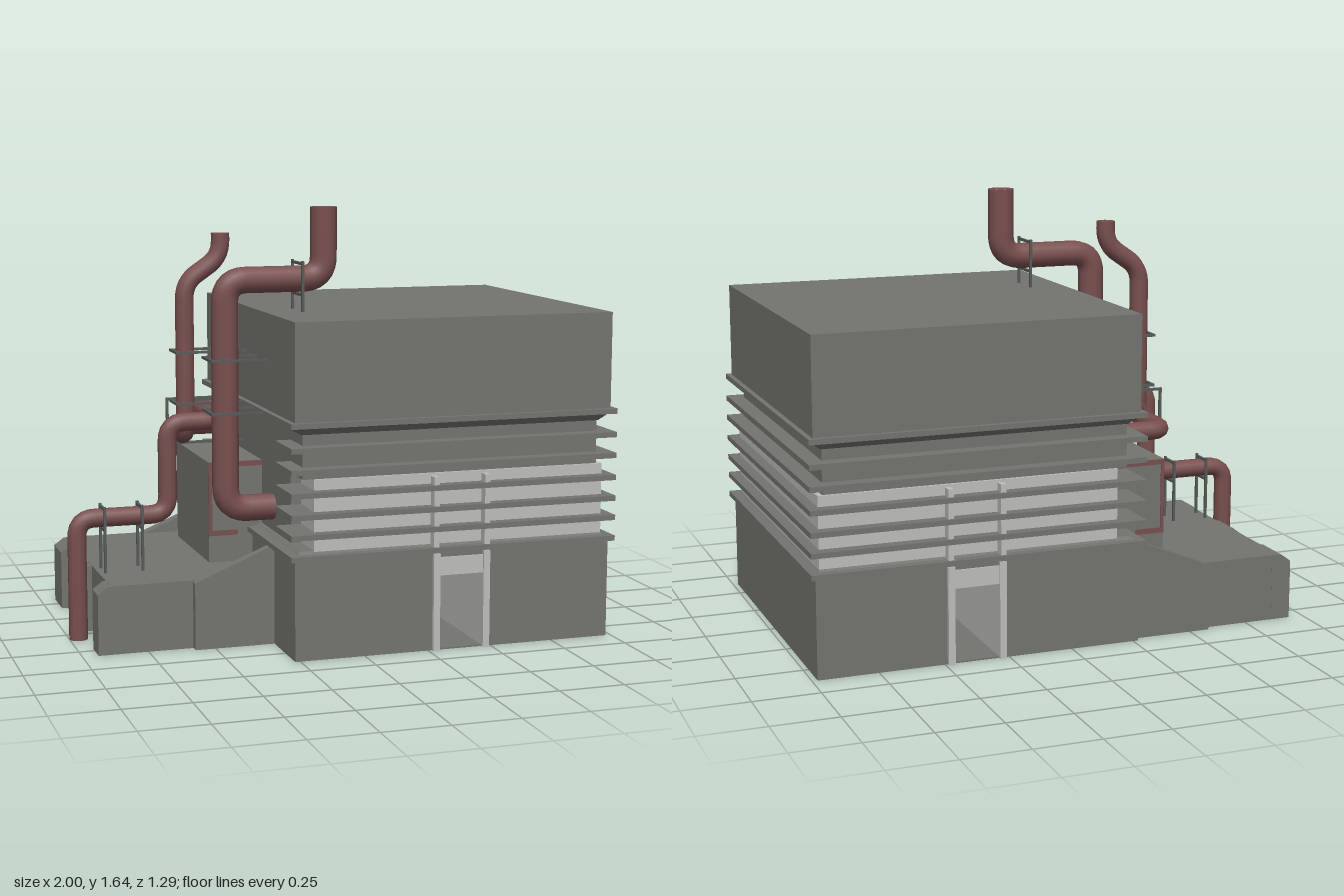
import * as THREE from 'three';

const material = (name, color) => {
  const m = new THREE.MeshStandardMaterial({ color });
  m.name = name;
  return m;
};

export function createModel() {
  const model = new THREE.Group();
  model.name = 'industrialBuilding';
  const concrete = material('concrete grey', 0x73746f);
  const pale = material('pale grey', 0xbdbdbb);
  const rust = material('rust brown', 0x794f4f);
  const steel = material('steel grey', 0x565b58);

  const add = (name, geometry, mat) => {
    const mesh = new THREE.Mesh(geometry, mat);
    mesh.name = name;
    model.add(mesh);
    return mesh;
  };
  // Box given by its limits on each axis
  const box = (name, mat, [x0, x1], [y0, y1], [z0, z1]) => {
    const g = new THREE.BoxGeometry(x1 - x0, y1 - y0, z1 - z0);
    g.translate((x0 + x1) / 2, (y0 + y1) / 2, (z0 + z1) / 2);
    return add(name, g, mat);
  };
  const shapeOf = (pts) => new THREE.Shape(pts.map(([a, b]) => new THREE.Vector2(a, b)));
  // Side profile (x, y) carried along z
  const wall = (name, mat, shape, z0, z1) => {
    const g = new THREE.ExtrudeGeometry(shape, { depth: z1 - z0, bevelEnabled: false });
    g.translate(0, 0, z0);
    return add(name, g, mat);
  };
  // Box whose top or bottom rectangle is drawn in
  const taper = (name, y0, y1, bottomInset, topInset) => {
    const g = new THREE.BoxGeometry(1.25, y1 - y0, 1.25).toNonIndexed();
    const p = g.attributes.position;
    for (let i = 0; i < p.count; i++) {
      const inset = p.getY(i) > 0 ? topInset : bottomInset;
      p.setX(i, p.getX(i) - Math.sign(p.getX(i)) * inset);
      p.setZ(i, p.getZ(i) - Math.sign(p.getZ(i)) * inset);
    }
    g.computeVertexNormals();
    g.translate(0.355, (y0 + y1) / 2, 0);
    return add(name, g, concrete);
  };

  // Ground storey with a passage through it
  const base = shapeOf([[-0.27, 0], [0.98, 0], [0.98, 0.385], [-0.27, 0.385]]);
  base.holes.push(new THREE.Path([[0.285, 0.006], [0.285, 0.29], [0.47, 0.29], [0.47, 0.006]]
    .map(([x, y]) => new THREE.Vector2(x, y))));
  wall('groundStorey', concrete, base, -0.625, 0.625);
  taper('groundStoreyLedge', 0.385, 0.405, 0, 0.03);
  for (const x of [0.285, 0.464]) box('passageWall', pale, [x, x + 0.006], [0.006, 0.29], [-0.624, 0.624]);
  box('passageCeiling', pale, [0.285, 0.47], [0.285, 0.291], [-0.624, 0.624]);

  // Middle storeys and upper block
  box('windowBand', pale, [-0.19, 0.96], [0.4, 0.67], [-0.6, 0.6]);
  box('darkBand', concrete, [-0.23, 0.94], [0.67, 0.84], [-0.59, 0.59]);
  box('pipeWall', concrete, [-0.23, -0.18], [0.39, 0.69], [-0.44, 0.44]);
  taper('upperBlockSoffit', 0.835, 0.87, 0.035, 0);
  box('upperBlock', concrete, [-0.27, 0.98], [0.865, 1.25], [-0.625, 0.625]);

  // Sun louvres: the top and bottom ones go all round, the rest stop beside the pipes
  const louvre = shapeOf([[-0.29, -0.645], [1, -0.645], [1, 0.645], [-0.29, 0.645],
    [-0.29, 0.44], [-0.2, 0.44], [-0.2, -0.44], [-0.29, -0.44]]);
  for (const y of [0.695, 0.775, 0.61, 0.53, 0.455]) {
    const g = new THREE.ExtrudeGeometry(louvre, { depth: 0.02, bevelEnabled: false });
    g.rotateX(-Math.PI / 2).translate(0, y, 0);
    add('louvre', g, concrete);
  }
  for (const y of [0.865, 0.375]) box('louvreRing', concrete, [-0.29, 1], [y, y + 0.02], [-0.645, 0.645]);

  // Door surrounds on front and back
  for (const s of [-1, 1]) {
    const span = (a, b) => (s > 0 ? [a, b] : [-b, -a]);
    for (const [x0, x1, c] of [[0.265, 0.291, 0.265], [0.464, 0.49, 0.467]]) {
      box('doorPost', pale, [x0, x1], [0, 0.37], span(0.61, 0.64));
      box('doorMullion', pale, [c, c + 0.021], [0.37, 0.66], span(0.59, 0.638));
    }
    box('doorHeader', pale, [0.291, 0.464], [0.286, 0.355], span(0.61, 0.632));
  }

  // Low annex, open underneath
  box('annexRoof', concrete, [-0.89, -0.27], [0.235, 0.26], [-0.575, 0.325]);
  box('annexEndWall', concrete, [-0.89, -0.86], [0, 0.24], [-0.575, 0.325]);
  box('annexBackWall', concrete, [-0.89, -0.27], [0, 0.24], [-0.575, -0.545]);
  box('annexFrontWall', concrete, [-0.89, -0.27], [0, 0.24], [0.295, 0.325]);
  const buttress = shapeOf([[-0.86, 0], [-0.86, 0.259], [-0.9, 0.259], [-0.94, 0.23], [-0.94, 0]]);
  for (const [z0, z1] of [[-0.576, -0.42], [-0.16, -0.035], [0.225, 0.326]])
    wall('buttress', concrete, buttress, z0, z1);
  const wing = shapeOf([[-0.578, 0], [-0.265, 0], [-0.265, 0.385], [-0.578, 0.255]]);
  wall('wingWallBack', concrete, wing, -0.6, -0.55);
  wall('wingWallFront', concrete, wing, 0.318, 0.358);

  // Plant box on the annex with rusty edging
  box('plantBox', concrete, [-0.445, -0.2], [0.25, 0.655], [-0.46, 0.055]);
  for (const z of [-0.464, 0.055]) {
    const depth = [z, z + 0.004];
    box('plantBoxTopTrim', rust, [-0.445, -0.23], [0.635, 0.655], depth);
    box('plantBoxLowTrim', rust, [-0.445, -0.33], [0.365, 0.385], depth);
    box('plantBoxSideTrim', rust, [-0.445, -0.432], [0.385, 0.635], depth);
  }

  // Pipe through corner points with rounded bends and closed ends
  const pipe = (name, radius, bend, corners) => {
    const pts = corners.map((c) => new THREE.Vector3(...c));
    const path = new THREE.CurvePath();
    let from = pts[0];
    for (let i = 1; i < pts.length - 1; i++) {
      const p = pts[i];
      const a = p.clone().add(pts[i - 1].clone().sub(p).setLength(bend));
      const b = p.clone().add(pts[i + 1].clone().sub(p).setLength(bend));
      path.add(new THREE.LineCurve3(from, a));
      path.add(new THREE.QuadraticBezierCurve3(a, p, b));
      from = b;
    }
    path.add(new THREE.LineCurve3(from, pts[pts.length - 1]));
    add(name, new THREE.TubeGeometry(path, 90, radius, 10, false), rust);
    for (const t of [0, 1]) {
      const cap = add(name + 'Cap', new THREE.CircleGeometry(radius, 10), rust);
      const out = path.getTangentAt(t).multiplyScalar(t ? 1 : -1);
      cap.position.copy(path.getPointAt(t));
      cap.quaternion.setFromUnitVectors(new THREE.Vector3(0, 0, 1), out);
    }
  };
  pipe('largeFluePipe', 0.051, 0.085,
    [[-0.2, 0.5, 0.205], [-0.417, 0.5, 0.205], [-0.417, 1.37, 0.205], [-0.028, 1.37, 0.205], [-0.028, 1.64, 0.205]]);
  pipe('smallFluePipe', 0.037, 0.06,
    [[-0.2, 0.74, -0.335], [-0.5, 0.74, -0.335], [-0.5, 0.74, -0.085], [-0.5, 1.34, -0.085],
      [-0.355, 1.44, -0.085], [-0.355, 1.53, -0.085]]);
  pipe('drainPipe', 0.036, 0.07,
    [[-0.2, 0.82, -0.335], [-0.4, 0.82, -0.335], [-0.4, 0.82, 0.065], [-0.61, 0.82, 0.065],
      [-0.61, 0.467, 0.065], [-0.965, 0.467, 0.065], [-0.965, 0, 0.065]]);

  // Standing pipe supports: two posts and two cross rods
  const r = 0.005;
  const stand = (x, y0, y1, z, half, lowBar) => {
    for (const s of [-half, half]) box('supportPost', steel, [x - r, x + r], [y0, y1], [z + s - r, z + s + r]);
    for (const y of [lowBar, y1 - 0.01])
      box('supportBar', steel, [x - r, x + r], [y - r, y + r], [z - half, z + half]);
  };
  stand(-0.865, 0.2, 0.515, 0.065, 0.043, 0.426);
  stand(-0.72, 0.2, 0.515, 0.065, 0.043, 0.426);
  stand(-0.13, 1.25, 1.44, 0.205, 0.065, 1.313);

  // Wall brackets looped round the upright pipes
  const bracket = (y, x, z, half) => {
    for (const s of [-half, half]) box('bracketArm', steel, [x, -0.22], [y - r, y + r], [z + s - r, z + s + r]);
    box('bracketEnd', steel, [x, x + 2 * r], [y - r, y + r], [z - half, z + half]);
  };
  for (const y of [0.875, 1.075]) {
    bracket(y, -0.55, -0.08, 0.055);
    bracket(y, -0.488, 0.205, 0.07);
  }
  // Hanger for the level run of the small flue
  for (const y of [0.695, 0.872]) box('hangerArm', steel, [-0.55, -0.22], [y - r, y + r], [-0.207, -0.197]);
  box('hangerDrop', steel, [-0.55, -0.54], [0.695, 0.872], [-0.207, -0.197]);

  return model;
}
